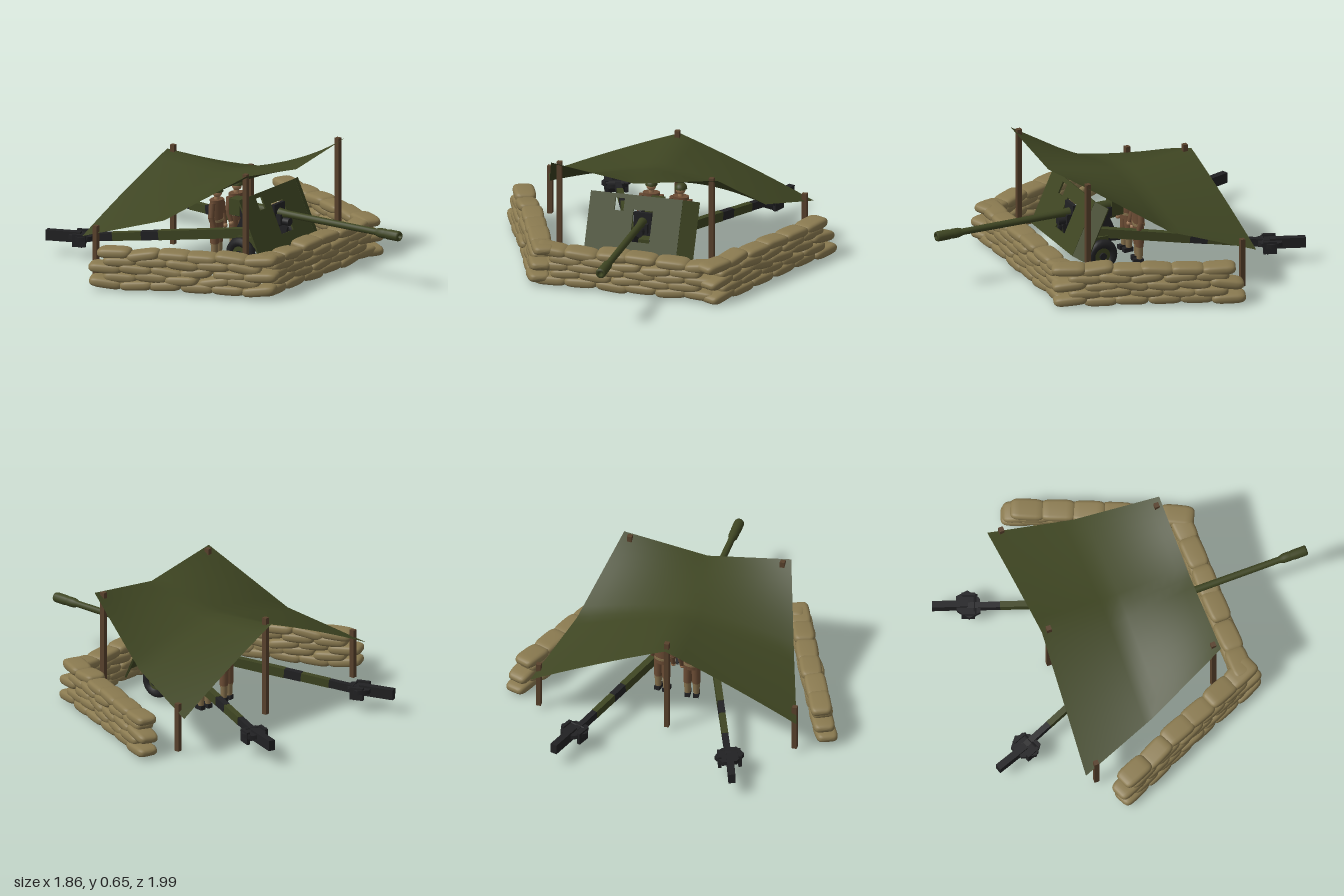
import * as THREE from 'three';

const mat = (name, color, extra = {}) => {
  const m = new THREE.MeshStandardMaterial({ color, ...extra });
  m.name = name;
  return m;
};

export function createModel() {
  const olive = mat('olive paint', 0x3e4522);
  const canvas = mat('olive canvas', 0x3e4522, { side: THREE.DoubleSide });
  const sand = mat('sandbag cloth', 0x8a7a50);
  const wood = mat('wood', 0x58412c);
  const black = mat('dark metal', 0x212123);
  const cloth = mat('brown uniform', 0x6b4c34);
  const khaki = mat('khaki webbing', 0x85704c);
  const skin = mat('skin', 0x9a7452);

  const root = new THREE.Group();
  root.name = 'gunEmplacement';
  const V = (x, y, z) => new THREE.Vector3(x, y, z);
  const group = (name, parent = root) => {
    const g = new THREE.Group();
    g.name = name;
    parent.add(g);
    return g;
  };
  const add = (parent, name, geo, m, x = 0, y = 0, z = 0) => {
    const mesh = new THREE.Mesh(geo, m);
    mesh.name = name;
    mesh.position.set(x, y, z);
    parent.add(mesh);
    return mesh;
  };
  const box = (parent, name, m, w, h, d, x, y, z) =>
    add(parent, name, new THREE.BoxGeometry(w, h, d), m, x, y, z);
  // Round bar between two points
  const rod = (parent, name, m, a, b, ra, rb = ra, sides = 12) => {
    const d = b.clone().sub(a);
    const mesh = add(parent, name, new THREE.CylinderGeometry(rb, ra, d.length(), sides), m);
    mesh.position.copy(a).addScaledVector(d, 0.5);
    mesh.quaternion.setFromUnitVectors(V(0, 1, 0), d.normalize());
    return mesh;
  };
  // Square beam between two points
  const beam = (parent, name, m, a, b, w, h) => {
    const mesh = box(parent, name, m, w, h, a.distanceTo(b), 0, 0, 0);
    mesh.position.copy(a).lerp(b, 0.5);
    mesh.lookAt(b);
    return mesh;
  };

  let seed = 7;
  const rand = () => (seed = (seed * 16807) % 2147483647) / 2147483647 - 0.5;

  // Sandbag: a pillow, square in plan and thin at its seams
  const bagGeo = new THREE.SphereGeometry(1, 20, 14);
  bagGeo.rotateZ(Math.PI / 2);
  const p = bagGeo.attributes.position;
  const pow = (v, e) => Math.sign(v) * Math.abs(v) ** e;
  for (let i = 0; i < p.count; i++) {
    const x = pow(p.getX(i), 0.5), y = pow(p.getY(i), 0.8), z = pow(p.getZ(i), 0.42);
    p.setXYZ(i, x * 0.094, y * 0.029, z * 0.06);
  }
  bagGeo.computeVertexNormals();

  // Five staggered courses; the top course stops short of the far end by trim
  const wall = (name, a, b, lean, trim) => {
    const g = group(name);
    const dir = b.clone().sub(a), len = dir.length();
    dir.normalize();
    for (let row = 0; row < 5; row++) {
      const n = row % 2 ? 5 : 6;
      const step = (len - (row === 4 ? trim : 0)) / 6, start = row % 2 ? step : step / 2;
      for (let i = 0; i < n; i++) {
        const bag = add(g, 'sandbag', bagGeo, sand);
        bag.position.copy(a).addScaledVector(dir, start + i * step + rand() * 0.02);
        bag.position.addScaledVector(lean, (4 - row) * 0.005 + rand() * 0.012);
        bag.position.y = 0.034 + row * 0.0405 + rand() * 0.012;
        bag.rotation.set(rand() * 0.2, Math.atan2(-dir.z, dir.x) + rand() * 0.12, rand() * 0.2);
      }
    }
  };
  wall('frontSandbags', V(-0.5, 0, 0.441), V(0.5, 0, 0.441), V(0, 0, 0.4), 0);
  for (const s of [-1, 1])
    wall('sideSandbags', V(s * 0.452, 0, 0.51), V(s * 0.862, 0, -0.435), V(s * 0.9, 0, 0.4), 0.06);

  // Tarpaulin: rows of [z, half width, centre height, edge height, edge setback, bulge]
  const rows = [
    [0.32, 0.47, 0.58, 0.65, 0, 0],
    [-0.125, 0.61, 0.51, 0.36, 0, 0.012],
    [-0.54, 0.75, 0.55, 0.23, -0.03, 0.01],
  ];
  const tarpGeo = new THREE.PlaneGeometry(1, 1, 16, 16);
  const tp = tarpGeo.attributes.position;
  for (let i = 0; i < tp.count; i++) {
    const u = tp.getX(i) * 2, v = (0.5 - tp.getY(i)) * 2;
    const r = Math.min(1, Math.floor(v)), f = v - r, t = Math.abs(u);
    const [z, w, c, e, back, bulge] = rows[r].map((k, j) => THREE.MathUtils.lerp(k, rows[r + 1][j], f));
    tp.setXYZ(i, u * w, c + (e - c) * t + bulge * 4 * t * (1 - t), z + back * t);
  }
  // Rows run front to back, so flip the winding to face upward
  const idx = tarpGeo.index.array;
  for (let i = 0; i < idx.length; i += 3) [idx[i], idx[i + 1]] = [idx[i + 1], idx[i]];
  tarpGeo.computeVertexNormals();
  add(root, 'tarpaulin', tarpGeo, canvas);

  // Posts
  const post = (x, z, top, bottom) =>
    box(root, 'post', wood, 0.027, top - bottom, 0.027, x, (top + bottom) / 2, z);
  for (const s of [-1, 1]) {
    post(s * 0.43, 0.29, 0.65, 0.02);
    post(s * 0.72, -0.5, 0.295, 0.02);
  }
  post(0, -0.5, 0.58, 0.02);

  // Gun barrel and breech
  const gun = group('fieldGun');
  const gx = 0.012;
  const profile = [[0, -0.06], [0.026, -0.06], [0.026, 0.2], [0.02, 0.26], [0.018, 0.84], [0.026, 0.865],
    [0.027, 0.9], [0.025, 0.91], [0.028, 0.925], [0.028, 0.99], [0.025, 1], [0.012, 1], [0.012, 0.94]]
    .map(([r, y]) => new THREE.Vector2(r, y));
  const barrel = add(gun, 'barrel', new THREE.LatheGeometry(profile, 16), olive, gx, 0.313, 0);
  barrel.rotation.x = Math.PI / 2;
  box(gun, 'breech', olive, 0.075, 0.09, 0.07, gx, 0.303, -0.075);
  box(gun, 'breechBlock', black, 0.045, 0.06, 0.03, gx, 0.3, -0.1);
  box(gun, 'cradle', black, 0.07, 0.055, 0.32, gx, 0.283, 0.07);
  rod(gun, 'recoilCylinder', black, V(gx, 0.27, 0.1), V(gx, 0.27, 0.27), 0.022);
  box(gun, 'mantlet', black, 0.1, 0.13, 0.02, gx, 0.3, 0.19);

  // Carriage
  for (const s of [-1, 1]) {
    const cheek = new THREE.Shape([[-0.08, 0.12], [0.2, 0.14], [0.22, 0.22], [0.08, 0.33], [0, 0.3]]
      .map(([a, b]) => new THREE.Vector2(-a, b)));
    const c = add(gun, 'cheekPlate', new THREE.ExtrudeGeometry(cheek, { depth: 0.015, bevelEnabled: false }),
      black, s * 0.05 + gx - 0.0075, 0, 0);
    c.rotation.y = Math.PI / 2;

    const wheel = group('wheel', gun);
    wheel.position.set(s * 0.21, 0.115, 0.1);
    const tyre = add(wheel, 'tyre', new THREE.TorusGeometry(0.066, 0.026, 10, 24), black);
    tyre.rotation.y = Math.PI / 2;
    rod(wheel, 'rim', olive, V(-0.014, 0, 0), V(0.014, 0, 0), 0.052, 0.052, 20);
    rod(wheel, 'hub', black, V(-0.026, 0, 0), V(0.026, 0, 0), 0.02);

    // Split trail, its legs painted in olive and dark bands
    const at = (z) => V(s * (0.118 - 0.39 * z), 0.195 + 0.108 * z, z);
    const stops = [0.08, -0.4, -0.49, -0.64, -0.82];
    for (let i = 0; i < 4; i++)
      beam(gun, 'trailLeg', i % 2 ? black : olive, at(stops[i]), at(stops[i + 1]), 0.036 - i * 0.001, 0.052 - i * 0.003);
    beam(gun, 'trailHandle', black, V(s * 0.438, 0.112, -0.8), V(s * 0.502, 0.11, -0.985), 0.038, 0.058);

    // Six-sided spade with ground fins
    const spade = group('spade', gun);
    spade.position.set(s * 0.436, 0.105, -0.8);
    spade.rotation.y = -s * 0.37;
    const plate = add(spade, 'spadePlate', new THREE.CylinderGeometry(0.084, 0.084, 0.024, 6), black, 0, 0.012, 0);
    plate.rotation.y = Math.PI / 6;
    plate.scale.z = 0.85;
    box(spade, 'spadeFin', black, 0.12, 0.07, 0.02, 0, -0.005, 0.025).rotation.x = 0.5;
    for (const e of [-1, 1]) box(spade, 'spadeCheek', black, 0.018, 0.07, 0.075, e * 0.055, 0, 0);
  }
  rod(gun, 'axle', black, V(-0.21, 0.115, 0.1), V(0.21, 0.115, 0.1), 0.018);
  box(gun, 'saddle', olive, 0.26, 0.05, 0.12, 0, 0.16, 0.08);

  // Shield: raked plate with sight and barrel openings, one wing swept back
  const shield = group('shield', gun);
  shield.position.set(0, 0.2, 0.25);
  shield.rotation.x = -0.43;
  const poly = (Type, pts) => new Type(pts.map(([x, y]) => new THREE.Vector2(x, y)));
  const face = poly(THREE.Shape, [[-0.295, -0.06], [0.225, -0.06], [0.225, 0.264], [-0.295, 0.264]]);
  face.holes.push(
    poly(THREE.Path, [[-0.152, 0.172], [-0.1, 0.172], [-0.1, 0.24], [-0.152, 0.24]]),
    poly(THREE.Path, [[-0.045, 0.01], [0.065, 0.01], [0.065, 0.185], [-0.045, 0.185]]));
  add(shield, 'shieldPlate', new THREE.ExtrudeGeometry(face, { depth: 0.01, bevelEnabled: false }), olive);
  const wing = box(shield, 'shieldWing', olive, 0.094, 0.324, 0.01, 0.266, 0.102, -0.017);
  wing.rotation.y = 0.49;

  // Gun crew
  const soldier = (x, z, turn) => {
    const g = group('soldier');
    g.position.set(x, 0, z);
    g.rotation.y = turn;
    for (const s of [-1, 1]) {
      box(g, 'boot', black, 0.03, 0.025, 0.055, s * 0.024, 0.013, 0.008);
      rod(g, 'gaiter', khaki, V(s * 0.024, 0.025, 0), V(s * 0.024, 0.1, 0), 0.017, 0.021);
      rod(g, 'trouserLeg', cloth, V(s * 0.024, 0.095, 0), V(s * 0.021, 0.215, 0), 0.023, 0.026);
      rod(g, 'upperArm', cloth, V(s * 0.05, 0.325, 0), V(s * 0.064, 0.25, 0.002), 0.018, 0.017);
      rod(g, 'forearm', cloth, V(s * 0.064, 0.254, 0), V(s * 0.058, 0.19, 0.018), 0.017, 0.013);
      add(g, 'hand', new THREE.SphereGeometry(0.014, 10, 8), skin, s * 0.057, 0.18, 0.02);
    }
    const torso = rod(g, 'jacket', cloth, V(0, 0.19, 0), V(0, 0.34, 0), 0.042, 0.048);
    torso.scale.z = 0.72;
    const belt = rod(g, 'belt', khaki, V(0, 0.215, 0), V(0, 0.229, 0), 0.046);
    belt.scale.z = 0.74;
    rod(g, 'neck', skin, V(0, 0.335, 0), V(0, 0.36, 0), 0.015);
    add(g, 'head', new THREE.SphereGeometry(0.027, 14, 10), skin, 0, 0.378, 0.003);
    const helmet = add(g, 'helmet', new THREE.SphereGeometry(0.034, 16, 8, 0, Math.PI * 2, 0, Math.PI / 2),
      canvas, 0, 0.383, 0);
    helmet.scale.z = 1.1;
  };
  soldier(0.12, -0.165, -0.2);
  soldier(-0.05, -0.175, 0.1);

  return root;
}
